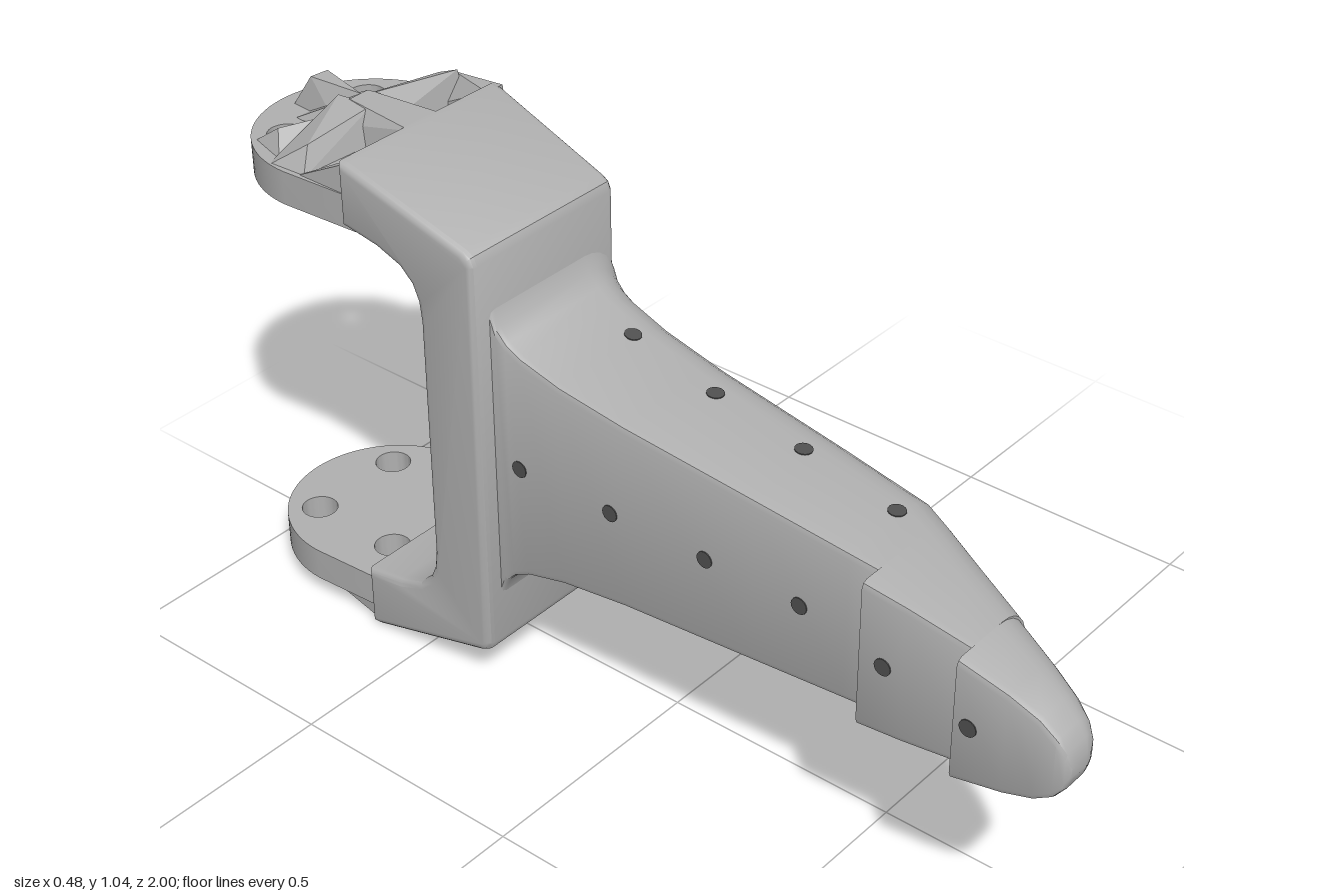
import * as THREE from 'three';
import { toCreasedNormals } from 'three/addons/utils/BufferGeometryUtils.js';
import { ConvexGeometry } from 'three/addons/geometries/ConvexGeometry.js';

const MID = 0.5215; // height of the mirror plane
const grey = new THREE.MeshStandardMaterial({ color: 0xb0b0b0 });
grey.name = 'grey';
const dark = new THREE.MeshStandardMaterial({ color: 0x505050 });
dark.name = 'dark hole';

function add(parent, geometry, name, material = grey) {
  const mesh = new THREE.Mesh(geometry, material);
  mesh.name = name;
  parent.add(mesh);
  return mesh;
}

// Stations of the arm from tip to root: z, left x, right x, half height
const stations = [
  [1, -0.225, -0.17, 0.015], [0.992, -0.235, -0.152, 0.04], [0.975, -0.24, -0.135, 0.062],
  [0.94, -0.24, -0.115, 0.085], [0.88, -0.24, -0.085, 0.105], [0.78, -0.24, -0.036, 0.126],
  [0.78, -0.2, -0.036, 0.126], [0.65, -0.2, 0.028, 0.144], [0.56, -0.2, 0.072, 0.153],
  [0.56, -0.155, 0.072, 0.153], [0.5, -0.155, 0.1, 0.158], [0.3, -0.155, 0.124, 0.175],
  [0, -0.155, 0.156, 0.2], [-0.15, -0.155, 0.173, 0.22], [-0.24, -0.155, 0.183, 0.243],
  [-0.275, -0.155, 0.187, 0.26], [-0.298, -0.155, 0.189, 0.283], [-0.31, -0.155, 0.19, 0.315],
  [-0.34, -0.155, 0.19, 0.315],
];

// Linear lookup of one station column at a given z
function at(z, column) {
  for (let i = 1; i < stations.length; i++) {
    const a = stations[i - 1], b = stations[i];
    if (z <= a[0] && z >= b[0] && a[0] > b[0]) {
      return a[column] + (b[column] - a[column]) * (a[0] - z) / (a[0] - b[0]);
    }
  }
  return 0;
}

// Cross-section with broad rounding on the right and small on the left
function section([z, l, r, h]) {
  const points = [];
  const big = Math.min(0.085, h * 0.7, (r - l) * 0.45), small = Math.min(0.014, h * 0.5);
  const corner = (cx, cy, radius, start, steps) => {
    for (let k = 0; k <= steps; k++) {
      const a = start + (k / steps) * Math.PI / 2;
      points.push([cx + radius * Math.cos(a), MID + cy + radius * Math.sin(a), z]);
    }
  };
  corner(r - big, -h + big, big, -Math.PI / 2, 6);
  corner(r - big, h - big, big, 0, 6);
  corner(l + small, h - small, small, Math.PI / 2, 2);
  corner(l + small, -h + small, small, Math.PI, 2);
  return points;
}

function armGeometry() {
  const rings = stations.map(section), n = rings[0].length, index = [];
  for (let i = 0; i < rings.length - 1; i++) {
    for (let j = 0; j < n; j++) {
      const a = i * n + j, b = i * n + (j + 1) % n, c = b + n, d = a + n;
      index.push(a, d, b, b, d, c);
    }
  }
  for (let j = 1; j < n - 1; j++) index.push(0, j, j + 1);
  const geometry = new THREE.BufferGeometry();
  geometry.setAttribute('position', new THREE.Float32BufferAttribute(rings.flat(2), 3));
  geometry.setIndex(index);
  return toCreasedNormals(geometry, 0.6);
}

// C-shaped bracket extruded across, its right side widening to the rear
function bracketGeometry() {
  const upper = [[0.45, 0.26], [0.455, 0.3], [0.468, 0.33], [0.495, 0.355], [0.55, 0.375],
    [0.64, 0.39], [0.64, 0.521], [0.62, 0.521], [0.335, 0.446], [0.318, 0.437], [0.31, 0.42]];
  const outline = [...upper, ...upper.map(([s, y]) => [s, -y]).reverse()];
  const shape = new THREE.Shape(outline.map(([s, y]) => new THREE.Vector2(s, y + MID)));
  const bevel = 0.015;
  const geometry = new THREE.ExtrudeGeometry(shape, {
    depth: 0.385 - 2 * bevel, bevelThickness: bevel, bevelSize: bevel,
    bevelOffset: -bevel, bevelSegments: 3,
  });
  geometry.translate(0, 0, -0.195 + bevel).rotateY(Math.PI / 2);
  const p = geometry.attributes.position;
  for (let i = 0; i < p.count; i++) {
    if (p.getX(i) > 0) p.setX(i, p.getX(i) + 0.12 * (-p.getZ(i) - 0.31));
  }
  return toCreasedNormals(geometry, 0.6);
}

// Rounded mounting pad with four bolt holes
function padGeometry(y) {
  const shape = new THREE.Shape();
  shape.moveTo(-0.185, 0.61);
  shape.lineTo(0.228, 0.61);
  shape.lineTo(0.235, 0.785);
  shape.absarc(0.02, 0.785, 0.215, 0, Math.PI, false);
  shape.closePath();
  for (const x of [-0.085, 0.13]) {
    for (const t of [0.68, 0.89]) {
      const hole = new THREE.Path();
      hole.absarc(x, t, 0.037, 0, Math.PI * 2, true);
      shape.holes.push(hole);
    }
  }
  const geometry = new THREE.ExtrudeGeometry(shape, { depth: 0.07, bevelEnabled: false, curveSegments: 20 });
  geometry.rotateX(-Math.PI / 2).translate(0, y, 0);
  return toCreasedNormals(geometry, 0.6);
}

// Faceted lumps on the outer face: x, distance to the rear, height fraction
const lumps = [
  [[-0.03, 0.61, 0], [0.08, 0.61, 0], [-0.02, 0.62, 1], [0.07, 0.62, 1], [-0.03, 0.93, 0],
    [0.075, 0.93, 0], [0.0, 0.8, 1], [0.05, 0.8, 1]],
  [[-0.185, 0.74, 0], [-0.19, 0.83, 0], [-0.15, 0.76, 0.7], [0, 0.83, 1], [0.02, 0.73, 0],
    [0.02, 0.84, 0], [0.01, 0.75, 1]],
  [[0.23, 0.72, 0], [0.235, 0.8, 0], [0.22, 0.73, 1], [0.01, 0.86, 0], [0.0, 0.8, 1],
    [0.01, 0.76, 0], [0.2, 0.76, 0.9]],
  [[-0.185, 0.61, 0], [-0.13, 0.61, 0], [-0.18, 0.62, 1], [-0.14, 0.62, 1], [-0.185, 0.76, 0], [-0.13, 0.73, 0]],
  [[0.18, 0.61, 0], [0.228, 0.61, 0], [0.185, 0.62, 1], [0.228, 0.62, 1], [0.232, 0.75, 0.8],
    [0.19, 0.76, 0], [0.232, 0.76, 0]],
  [[0.0, 0.84, 0], [0.07, 0.84, 0], [0.02, 0.925, 1], [0.06, 0.92, 1], [0.01, 0.97, 0], [0.07, 0.95, 0], [0.03, 0.8, 1]],
  [[-0.17, 0.82, 0], [-0.14, 0.92, 0], [-0.13, 0.86, 0.6], [-0.05, 0.83, 0.6], [-0.04, 0.82, 0]],
];

export function createModel() {
  const group = new THREE.Group();
  group.name = 'armBracket';
  add(group, armGeometry(), 'arm');
  add(group, bracketGeometry(), 'bracket');

  // Mounting pads with their rough outer faces
  for (const [name, y, base, peak] of [['upper', 0.905, 0.97, 1.042], ['lower', 0.04, 0.045, 0]]) {
    add(group, padGeometry(y), name + 'Pad');
    for (const lump of lumps) {
      const points = lump.map(([x, t, f]) => new THREE.Vector3(x, base + (peak - base) * f, -t));
      add(group, new ConvexGeometry(points), name + 'PadFacet');
    }
  }

  // Small holes drawn as thin discs lying on the arm's surface
  const disc = (position, normal) => {
    const mesh = add(group, new THREE.CylinderGeometry(0.017, 0.017, 0.004, 16), 'armHole', dark);
    mesh.position.copy(position);
    mesh.quaternion.setFromUnitVectors(new THREE.Vector3(0, 1, 0), normal.normalize());
  };
  const slope = (z, column) => (at(z + 0.02, column) - at(z - 0.02, column)) / 0.04;
  for (const z of [0.81, 0.61, 0.4, 0.19, -0.03, -0.25]) {
    disc(new THREE.Vector3(at(z, 2), MID, z), new THREE.Vector3(1, 0, -slope(z, 2)));
    disc(new THREE.Vector3(at(z, 1), MID, z), new THREE.Vector3(-1, 0, 0));
  }
  for (const [x, z] of [[0.065, -0.16], [0.04, 0.055], [0.02, 0.27], [-0.005, 0.49]]) {
    for (const s of [1, -1]) {
      disc(new THREE.Vector3(x, MID + s * at(z, 3), z), new THREE.Vector3(0, s, -slope(z, 3)));
    }
  }
  return group;
}
